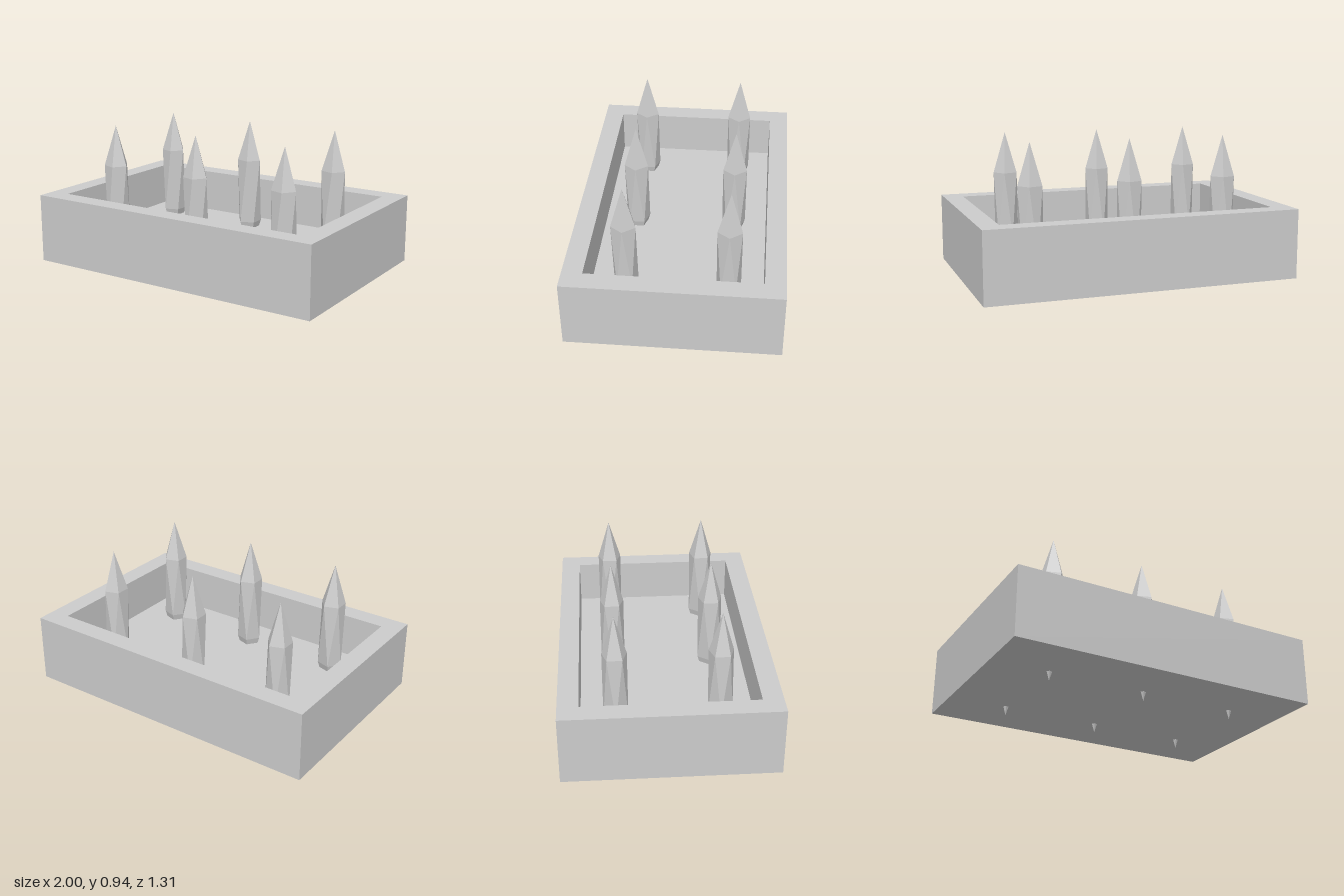
import * as THREE from 'three';

const material = new THREE.MeshStandardMaterial({ color: 0xcccccc, flatShading: true });

// Flat-faced geometry from a list of triangles (each three [x, y, z] points)
function facets(triangles) {
  const geometry = new THREE.BufferGeometry();
  geometry.setAttribute('position', new THREE.Float32BufferAttribute(triangles.flat(2), 3));
  geometry.computeVertexNormals();
  return geometry;
}

const quad = (a, b, c, d) => [[a, b, c], [a, c, d]];

// Open box: rectangular rings up the outside, over the rim and down to the floor
function trayGeometry() {
  const ring = (x, y, z) => [[x, y, z], [-x, y, z], [-x, y, -z], [x, y, -z]];
  const rings = [
    ring(1, 0.057, 0.656),
    ring(1, 0.5, 0.656),
    ring(0.875, 0.5, 0.531),
    ring(0.875, 0.22, 0.531),
  ];
  const triangles = [...quad(...rings[0]), ...quad(...[...rings[3]].reverse())];
  for (let r = 0; r < 3; r++) {
    const a = rings[r], b = rings[r + 1];
    for (let i = 0; i < 4; i++) {
      const j = (i + 1) % 4;
      triangles.push(...quad(a[j], a[i], b[i], b[j]));
    }
  }
  return facets(triangles);
}

// Stretched icosahedron: two tips and two staggered five-sided rings
function spikeGeometry() {
  const half = 0.4725, radius = 0.079, ringY = half / Math.sqrt(5);
  const ring = (y, turn) => Array.from({ length: 5 }, (_, i) => {
    const angle = (i + turn) * Math.PI * 0.4;
    return [radius * Math.cos(angle), y, radius * Math.sin(angle)];
  });
  const upper = ring(ringY, 0), lower = ring(-ringY, 0.5);
  const top = [0, half, 0], bottom = [0, -half, 0];
  const triangles = [];
  for (let i = 0; i < 5; i++) {
    const j = (i + 1) % 5;
    triangles.push(
      [top, upper[j], upper[i]],
      [upper[i], upper[j], lower[i]],
      [lower[i], upper[j], lower[j]],
      [bottom, lower[i], lower[j]],
    );
  }
  return facets(triangles);
}

export function createModel() {
  const model = new THREE.Group();
  model.name = 'spikeTrap';

  const tray = new THREE.Mesh(trayGeometry(), material);
  tray.name = 'tray';
  model.add(tray);

  // Two rows of three spikes, tips poking through the floor
  const spikes = new THREE.Group();
  spikes.name = 'spikes';
  const geometry = spikeGeometry();
  for (const z of [-0.316, 0.316]) {
    for (const x of [-0.632, 0, 0.632]) {
      const spike = new THREE.Mesh(geometry, material);
      spike.name = 'spike';
      spike.position.set(x, 0.4725, z);
      spikes.add(spike);
    }
  }
  model.add(spikes);
  return model;
}
